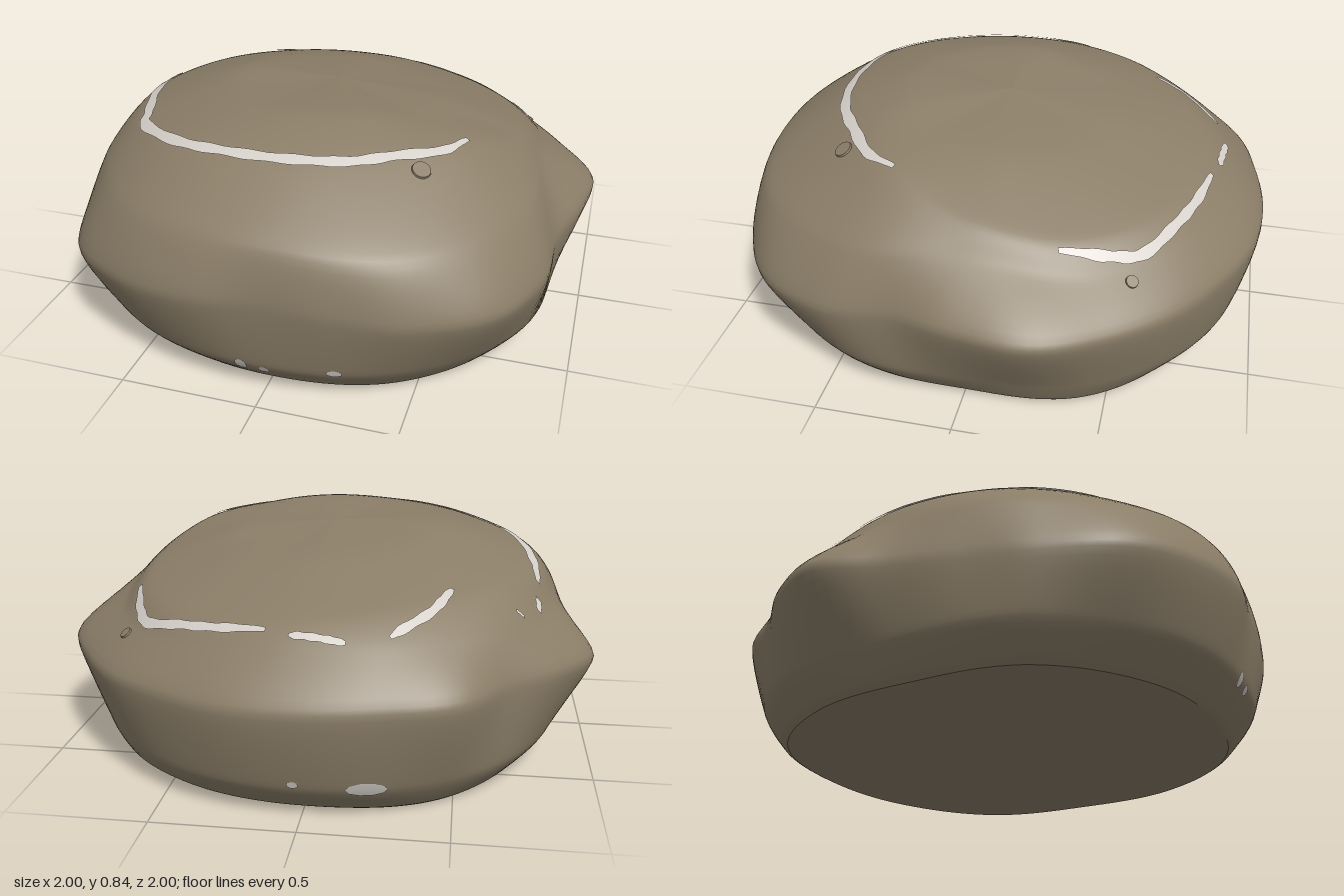
import * as THREE from 'three';

const COLS = 144, ROWS = 56;

// Control rings from base to crown: radius and height every 30 degrees, from +x towards +z
const RINGS = [
  { r: [.79, .83, .85, .82, .84, .85, .78, .81, .85, .82, .83, .85], y: [0] },
  { r: [.82, .87, .88, .855, .87, .88, .81, .84, .88, .86, .87, .88], y: [.025] },
  { r: [.88, .95, .96, .94, .97, .96, .88, .92, .95, .945, .95, .93], y: [.13] },
  { // widest outline, every 15 degrees
    r: [.975, .935, 1.02, 1.07, 1.045, 1, .98, 1.03, 1.06, 1.075, 1.015, .95,
      .945, 1.033, 1, .965, 1.03, 1.005, 1, 1, .99, 1, 1.005, 1.028],
    y: [.41, .36, .36, .4, .37, .34, .37, .41, .42, .41, .4, .39],
  },
  { r: [.8, .9, .96, .93, .95, .92, .86, .88, .88, .85, .85, .85],
    y: [.59, .575, .57, .6, .59, .57, .58, .57, .58, .58, .55, .53] },
  { r: [.7, .65, .635, .66, .7, .76, .77, .75, .73, .74, .75, .75],
    y: [.68, .76, .77, .775, .765, .72, .7, .695, .68, .655, .625, .62] },
  { r: [.4], y: [.78, .8, .835, .84, .83, .825, .825, .8, .775, .765, .75, .755] },
  { r: [0], y: [.825] },
];

// Smooth periodic lookup, u in 0..1, kept taut between the control values
function cyclic(list, u) {
  const n = list.length, f = u * n, i = Math.floor(f), t = f - i;
  const at = k => list[(i + k + n) % n];
  const [a, b, c, d] = [at(-1), at(0), at(1), at(2)];
  const m0 = .4 * (c - a), m1 = .4 * (d - b);
  return b + t * (m0 + t * (3 * (c - b) - 2 * m0 - m1 + t * (2 * (b - c) + m0 + m1)));
}

function makeGeometry(positions, index) {
  const g = new THREE.BufferGeometry();
  g.setAttribute('position', new THREE.Float32BufferAttribute(positions, 3));
  g.setIndex(index);
  g.computeVertexNormals();
  return g;
}

function stoneGeometry() {
  const pos = [], index = [];
  for (let i = 0; i < COLS; i++) {
    const u = i / COLS, a = u * Math.PI * 2;
    const column = new THREE.CatmullRomCurve3(RINGS.map(k => {
      const r = cyclic(k.r, u);
      return new THREE.Vector3(r * Math.cos(a), cyclic(k.y, u), r * Math.sin(a));
    }), false, 'catmullrom', .3);
    for (let j = 0; j <= ROWS; j++) {
      const p = column.getPoint(j / ROWS);
      pos.push(p.x, Math.max(0, p.y), p.z);
    }
  }
  for (let i = 0; i < COLS; i++) {
    for (let j = 0; j < ROWS; j++) {
      const a = i * (ROWS + 1) + j, b = ((i + 1) % COLS) * (ROWS + 1) + j;
      index.push(a, a + 1, b);
      if (j < ROWS - 1) index.push(b, a + 1, b + 1);
    }
  }
  return makeGeometry(pos, index);
}

function baseGeometry() {
  const pos = [0, 0, 0], index = [];
  for (let i = 0; i < COLS; i++) {
    const u = i / COLS, a = u * Math.PI * 2, r = cyclic(RINGS[0].r, u);
    pos.push(r * Math.cos(a), 0, r * Math.sin(a));
    index.push(0, i + 1, (i + 1) % COLS + 1);
  }
  return makeGeometry(pos, index);
}

export function createModel() {
  const group = new THREE.Group();
  const rock = new THREE.MeshStandardMaterial({ color: 0x8b7e68 });
  rock.name = 'brown stone';
  const pale = new THREE.MeshStandardMaterial({ color: 0xd6d0ca, side: THREE.DoubleSide });
  pale.name = 'pale mineral';
  const add = (name, geometry, material) => {
    const mesh = new THREE.Mesh(geometry, material);
    mesh.name = name;
    group.add(mesh);
    return mesh;
  };

  const stone = add('stone', stoneGeometry(), rock);
  add('flatBase', baseGeometry(), rock);

  // Finds a point on the stone, lifted slightly off its surface
  const ray = new THREE.Raycaster();
  const project = (from, dir, lift) => {
    ray.set(from, dir);
    const hit = ray.intersectObject(stone)[0];
    return { point: hit.point.clone().addScaledVector(hit.face.normal, lift), normal: hit.face.normal };
  };
  const down = new THREE.Vector3(0, -1, 0);
  const drop = (x, z, lift) => project(new THREE.Vector3(x, 2, z), down, lift);

  // Pale vein around the crown: broken ribbons [width, x, z, x, z, ...]
  const veins = [
    [.04, .56, .3, .5, .41, .35, .52, .2, .61, 0, .655, -.22, .645, -.42, .585, -.63, .42, -.66, .33, -.74, .1, -.77, -.12, -.775, -.23],
    [.022, -.775, -.32, -.775, -.38],
    [.012, -.72, -.47, -.69, -.475],
    [.032, -.47, -.52, -.41, -.65, -.28, -.79],
    [.024, -.14, -.83, -.05, -.82, .05, -.81],
    [.03, .13, -.785, .3, -.74, .45, -.675, .6, -.58, .66, -.47, .71, -.31],
  ];
  for (const [width, ...xz] of veins) {
    const pts = [];
    for (let i = 0; i < xz.length; i += 2) pts.push(new THREE.Vector3(xz[i], 0, xz[i + 1]));
    const path = new THREE.CatmullRomCurve3(pts);
    const n = pts.length * 6, pos = [], index = [];
    for (let i = 0; i <= n; i++) {
      const t = i / n, p = path.getPoint(t), d = path.getTangent(t);
      const half = width / 2 * (.45 + .55 * Math.min(1, 8 * t, 8 * (1 - t))) * (1 + .12 * Math.sin(i * 1.3));
      for (const s of [-1, 0, 1]) {
        pos.push(...drop(p.x - d.z * s * half, p.z + d.x * s * half, .005).point.toArray());
      }
      if (i < n) {
        const a = i * 3;
        for (const k of [a, a + 1]) index.push(k, k + 3, k + 1, k + 1, k + 3, k + 4);
      }
    }
    add('crownVein', makeGeometry(pos, index), pale);
  }

  // Pale flecks low on the front and back: x, y, half width, half height, side
  const flecks = [
    [-.073, .12, .022, .028, 1], [.01, .11, .022, .018, 1], [.255, .137, .027, .016, 1],
    [-.22, .13, .07, .028, -1], [.02, .145, .02, .014, -1],
  ];
  for (const [x, y, w, h, side] of flecks) {
    const dir = new THREE.Vector3(0, 0, -side), pos = [], index = [];
    const push = (px, py) => pos.push(...project(new THREE.Vector3(px, py, side * 2), dir, .003).point.toArray());
    push(x, y);
    for (let i = 0; i < 10; i++) {
      const a = i / 10 * Math.PI * 2;
      push(x + w * Math.cos(a), y + h * Math.sin(a));
      index.push(0, i + 1, (i + 1) % 10 + 1);
    }
    add('fleck', makeGeometry(pos, index), pale);
  }

  // Small round pebbles set in the shoulder
  for (const [x, z, r] of [[.445, .53, .036], [.69, -.56, .024]]) {
    const { point, normal } = drop(x, z, 0);
    const pebble = add('pebble', new THREE.CylinderGeometry(r * .9, r, .014, 20), rock);
    pebble.position.copy(point);
    pebble.quaternion.setFromUnitVectors(new THREE.Vector3(0, 1, 0), normal);
  }
  return group;
}
